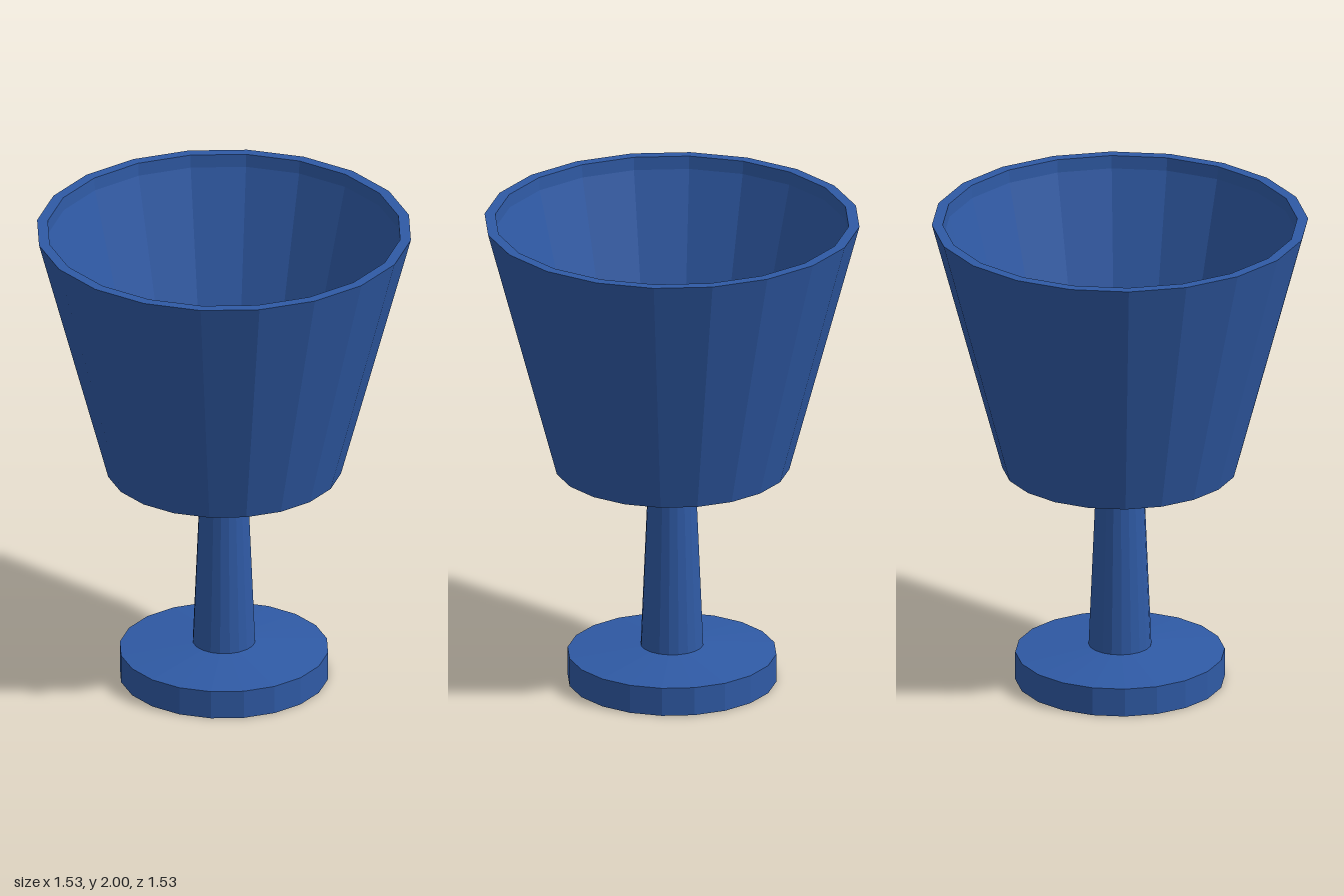
import * as THREE from 'three';

const SIDES = 20;

export function createModel() {
  const group = new THREE.Group();
  group.name = 'goblet';
  const material = new THREE.MeshStandardMaterial({ color: 0x2f5aa5, flatShading: true });

  // Turns a [radius, height] profile around the vertical axis
  const turn = (name, profile) => {
    const points = profile.map(([r, y]) => new THREE.Vector2(r, y));
    const mesh = new THREE.Mesh(new THREE.LatheGeometry(points, SIDES), material);
    mesh.name = name;
    group.add(mesh);
  };

  // Flat disc foot with a gently sloping top
  turn('foot', [[0, 0], [0.427, 0], [0.427, 0.12], [0.128, 0.15]]);

  // Tapered stem
  turn('stem', [[0.128, 0.15], [0.097, 0.88]]);

  // Bowl: underside, outer wall, rim, upright inner lip, inner wall and dished floor
  turn('bowl', [
    [0.097, 0.88], [0.48, 0.93], [0.767, 2], [0.723, 2],
    [0.72, 1.945], [0.45, 0.95], [0, 0.91],
  ]);

  return group;
}
